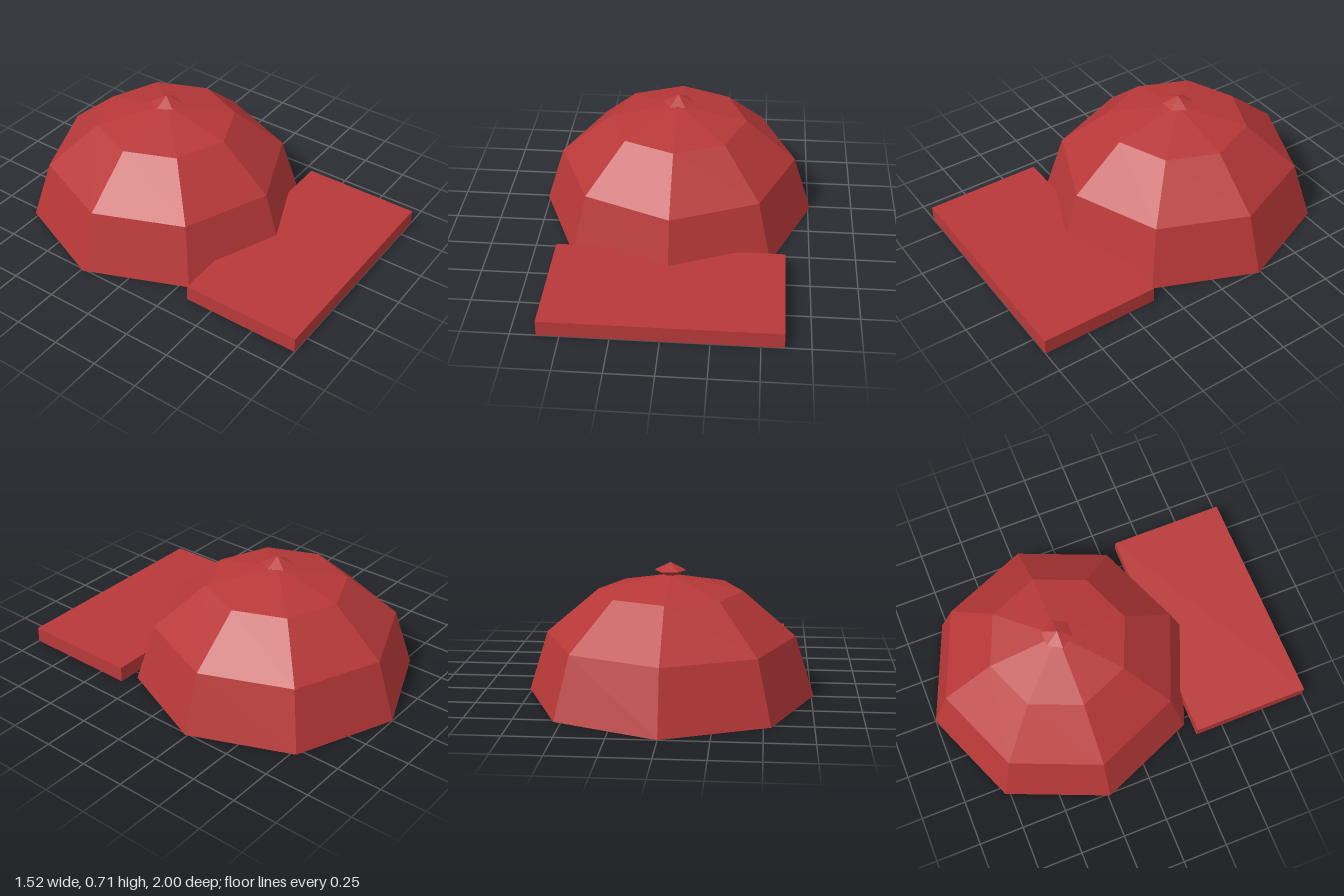
import * as THREE from 'three';

const R = 0.762;        // crown radius
const CROWN_H = 0.65;
const CROWN_Z = -0.238; // crown sits behind the brim

export function createModel() {
  const model = new THREE.Group();
  model.name = 'cap';
  const red = new THREE.MeshStandardMaterial({ color: 0xb83838, flatShading: true });
  red.name = 'red cloth';

  const add = (name, geometry, x, y, z) => {
    const mesh = new THREE.Mesh(geometry, red);
    mesh.name = name;
    mesh.position.set(x, y, z);
    model.add(mesh);
  };

  // Eight-panel crown: squashed half sphere
  const crown = new THREE.SphereGeometry(R, 8, 3, 0, Math.PI * 2, 0, Math.PI / 2);
  crown.scale(1, CROWN_H / R, 1);
  add('crown', crown, 0, 0, CROWN_Z);

  // Flat underside closing the crown
  add('crownBase', new THREE.CircleGeometry(R, 8).rotateX(Math.PI / 2), 0, 0, CROWN_Z);

  // Straight rectangular brim
  add('brim', new THREE.BoxGeometry(1.234, 0.086, 0.655), 0, 0.043, 0.6725);

  // Six-sided button on top
  const button = new THREE.SphereGeometry(0.084, 6, 2);
  button.scale(1, 0.5, 1);
  add('button', button, 0, 0.67, CROWN_Z);

  return model;
}
